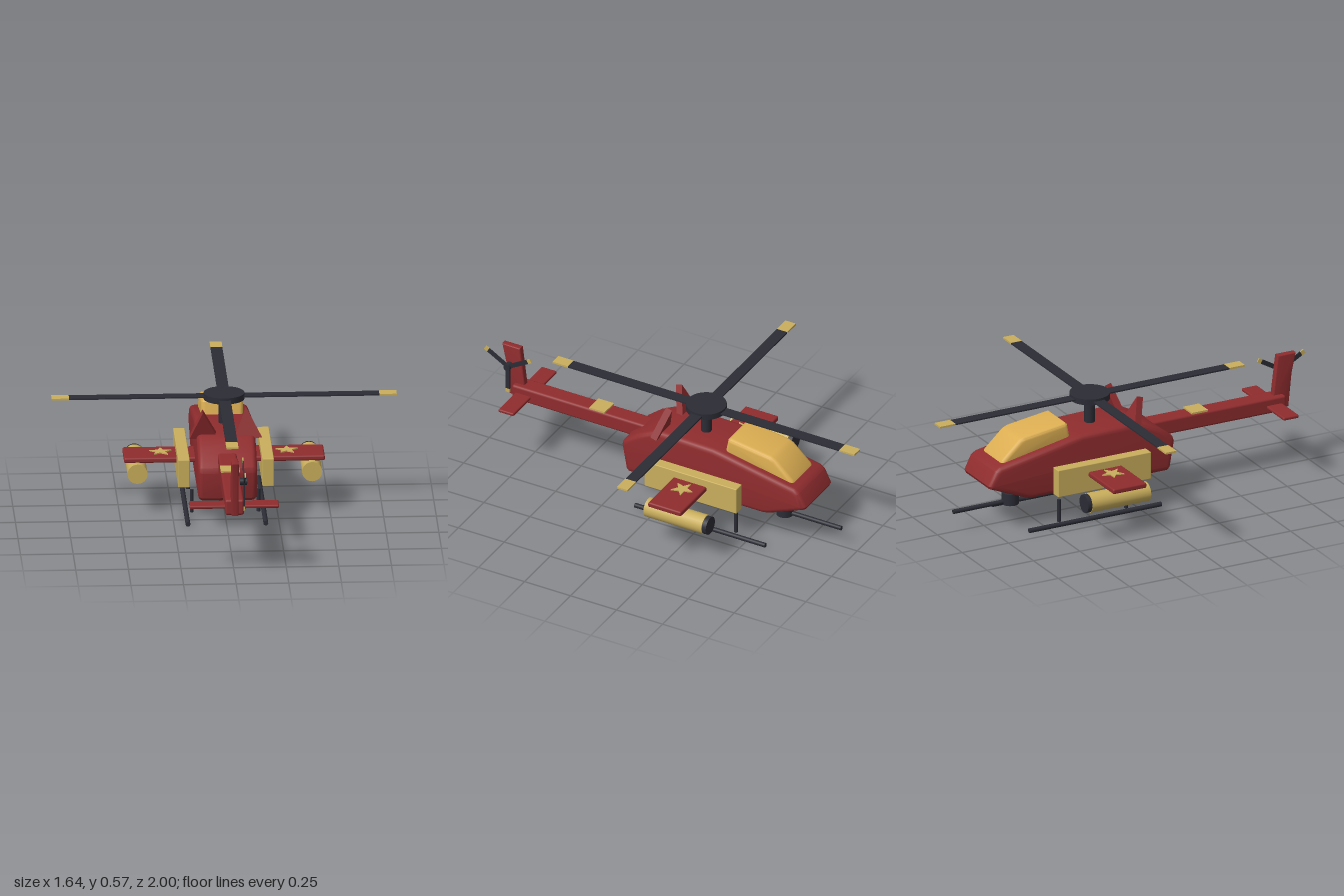
import * as THREE from 'three';
import { toCreasedNormals } from 'three/addons/utils/BufferGeometryUtils.js';
import { RoundedBoxGeometry } from 'three/addons/geometries/RoundedBoxGeometry.js';

const mat = (name, color) => Object.assign(new THREE.MeshStandardMaterial({ color }), { name });

export function createModel() {
  const red = mat('body red', 0x8f2c2e);
  const gold = mat('trim gold', 0xc9ae5c);
  const amber = mat('canopy amber', 0xdcae52);
  const dark = mat('dark metal', 0x2b2c35);
  const model = new THREE.Group();
  model.name = 'helicopter';

  const add = (name, geo, material, x = 0, y = 0, z = 0, parent = model) => {
    const mesh = new THREE.Mesh(geo, material);
    mesh.name = name;
    mesh.position.set(x, y, z);
    parent.add(mesh);
    return mesh;
  };
  const box = (w, h, d) => new THREE.BoxGeometry(w, h, d);
  const rounded = (w, h, d, r) => new RoundedBoxGeometry(w, h, d, 2, r);
  const rodZ = (r, len) => new THREE.CylinderGeometry(r, r, len, 24).rotateX(Math.PI / 2);

  // Side profile given as [z, y] points, extruded across x with rounded edges
  const profile = (pts, width, bevel) => {
    const shape = new THREE.Shape(pts.map(([z, y]) => new THREE.Vector2(-z, y)));
    const geo = new THREE.ExtrudeGeometry(shape, {
      depth: width - 2 * bevel, bevelThickness: bevel, bevelSize: bevel,
      bevelOffset: -bevel, bevelSegments: 4,
    });
    geo.translate(0, 0, bevel - width / 2).rotateY(Math.PI / 2);
    return toCreasedNormals(geo, 0.5);
  };

  // Fuselage and canopy
  add('fuselage', profile([
    [0.17, 0.15], [0.185, 0.165], [0.208, 0.295], [0.2, 0.32], [0.13, 0.375], [0.03, 0.425], [0, 0.43],
    [-0.29, 0.423], [-0.34, 0.415], [-0.73, 0.338], [-0.755, 0.32], [-0.79, 0.25],
    [-0.783, 0.235], [-0.59, 0.155], [-0.56, 0.15],
  ], 0.28, 0.025), red);
  add('canopy', profile([
    [-0.33, 0.38], [-0.348, 0.475], [-0.36, 0.484], [-0.58, 0.453], [-0.605, 0.442],
    [-0.7, 0.355], [-0.71, 0.33], [-0.6, 0.33],
  ], 0.2, 0.02), amber);

  // Tail
  add('tailBoom', rounded(0.09, 0.078, 0.74, 0.012), red, 0, 0.333, 0.485);
  add('boomStripe', box(0.09, 0.009, 0.085), gold, 0, 0.376, 0.39);
  add('tailFin', profile([
    [0.87, 0.3], [0.8, 0.33], [0.8, 0.37], [0.825, 0.57], [0.922, 0.57], [0.9, 0.47], [0.882, 0.3],
  ], 0.034, 0.006), red);
  add('stabilizer', rounded(0.425, 0.016, 0.083, 0.006), red, 0, 0.329, 0.792);

  // Tail rotor with three gold-tipped blades
  const tailRotor = new THREE.Group();
  tailRotor.name = 'tailRotor';
  tailRotor.position.set(0.044, 0.47, 0.874);
  model.add(tailRotor);
  add('tailRotorHub', new THREE.CylinderGeometry(0.017, 0.017, 0.034, 20).rotateZ(Math.PI / 2),
    dark, -0.003, 0, 0, tailRotor);
  for (let i = 0; i < 3; i++) {
    const blade = new THREE.Group();
    blade.name = 'tailBlade';
    blade.rotation.x = (i * 2 * Math.PI) / 3;
    tailRotor.add(blade);
    add('tailBladeSpar', box(0.006, 0.123, 0.022), dark, 0, -0.0615, 0, blade);
    add('tailBladeTip', box(0.0065, 0.02, 0.022), gold, 0, -0.133, 0, blade);
  }

  // Main rotor: mast, hub and four gold-tipped blades
  const rotor = new THREE.Group();
  rotor.name = 'mainRotor';
  rotor.position.set(0, 0.56, -0.18);
  model.add(rotor);
  add('mast', new THREE.CylinderGeometry(0.026, 0.026, 0.15, 24), dark, 0, -0.075, 0, rotor);
  add('rotorHub', new THREE.CylinderGeometry(0.097, 0.097, 0.03, 32), dark, 0, 0, 0, rotor);
  for (let i = 0; i < 4; i++) {
    const blade = new THREE.Group();
    blade.name = 'mainBlade';
    blade.rotation.y = (i * Math.PI) / 2;
    rotor.add(blade);
    add('bladeSpar', box(0.74, 0.007, 0.056), dark, 0.37, 0, 0, blade);
    add('bladeTip', box(0.083, 0.009, 0.057), gold, 0.7785, 0, 0, blade);
  }

  // Five-pointed star pointing to the nose
  const starShape = new THREE.Shape();
  for (let i = 0; i < 10; i++) {
    const r = i % 2 ? 0.023 : 0.056, a = Math.PI / 2 + (i * Math.PI) / 5;
    starShape[i ? 'lineTo' : 'moveTo'](r * Math.cos(a), r * Math.sin(a));
  }
  const star = new THREE.ExtrudeGeometry(starShape, { depth: 0.008, bevelEnabled: false }).rotateX(-Math.PI / 2);

  // Triangular fin behind the mast
  const finShape = new THREE.Shape();
  finShape.moveTo(-0.068, -0.01).lineTo(0.068, -0.01).lineTo(-0.008, 0.138).closePath();
  const fin = new THREE.ExtrudeGeometry(finShape, { depth: 0.034, bevelEnabled: false }).translate(0, 0, -0.017);

  // Paired parts
  for (const s of [-1, 1]) {
    add('roofFin', fin, red, s * 0.104, 0.418, s * 0.01).rotation.x = -s * 0.3;
    add('sidePanel', rounded(0.055, 0.138, 0.5, 0.004), gold, s * 0.2, 0.239, -0.22);
    add('stubWing', rounded(0.35, 0.026, 0.18, 0.008), red, s * 0.302, 0.257, -0.217);
    add('wingStar', star, gold, s * 0.3, 0.268, -0.217);
    add('pod', rodZ(0.048, 0.315), gold, s * 0.415, 0.2, -0.2535);
    add('podCap', rodZ(0.045, 0.026), dark, s * 0.415, 0.2, -0.42);
    add('skid', rodZ(0.0115, 0.71), dark, s * 0.185, 0.0115, -0.25);
    for (const z of [-0.43, -0.07]) {
      add('skidStrut', new THREE.CylinderGeometry(0.009, 0.009, 0.112, 16), dark, s * 0.159, 0.073, z);
    }
  }

  // Chin turret and barrel
  add('turret', new THREE.CylinderGeometry(0.042, 0.042, 0.058, 24), dark, 0, 0.117, -0.608);
  add('gunBarrel', rodZ(0.011, 0.315), dark, 0, 0.102, -0.757);

  return model;
}
